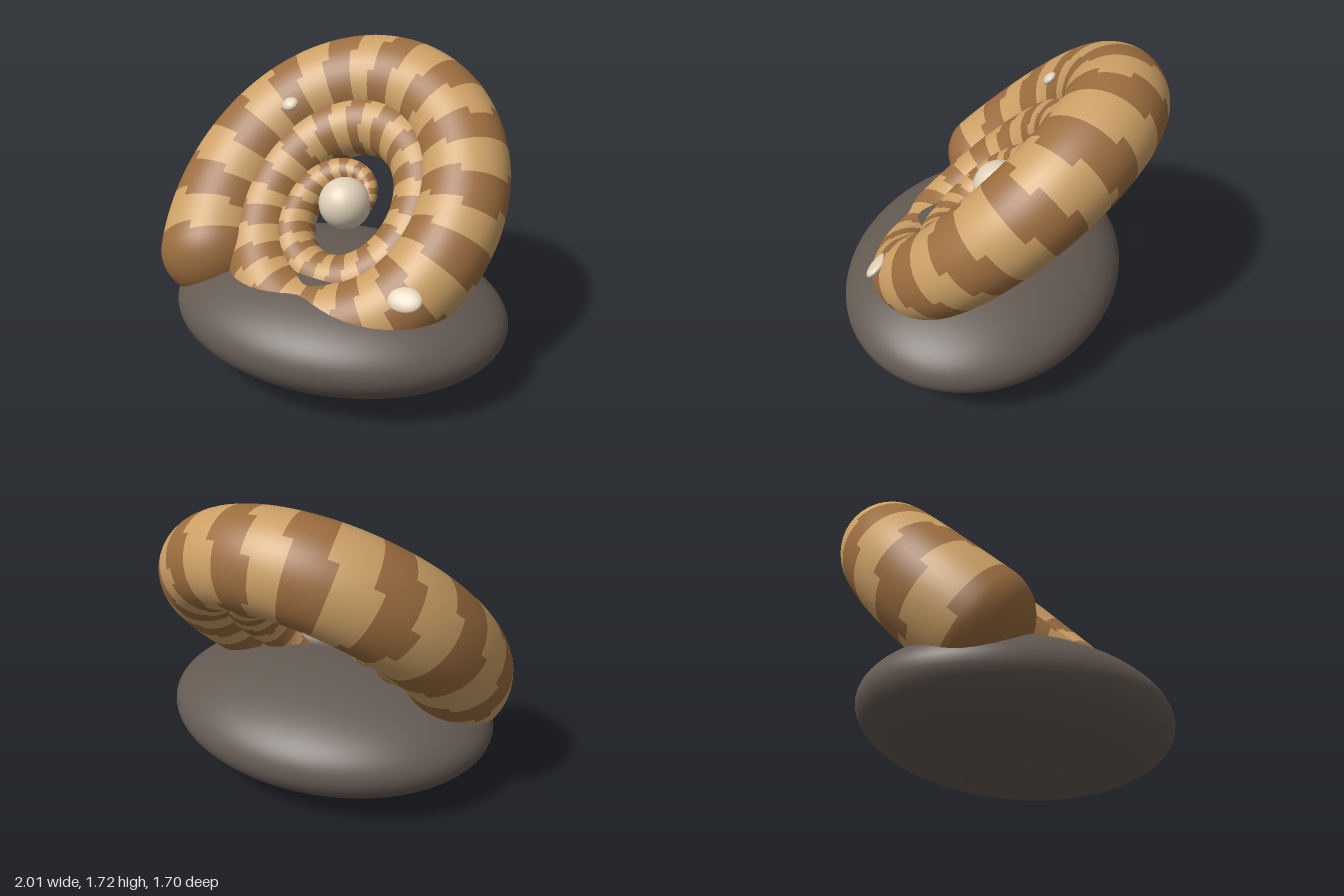
import * as THREE from 'three';

const SIDES = 40, STEPS = 280;
const START = -4 * Math.PI, END = 3.59;
const GROWTH = 0.071, OVAL = 1.19, BAND = 0.215, BAND_PHASE = 1.6;

const paint = (color) => new THREE.MeshStandardMaterial({ color });

// Cross-section of the coil at angle a: centre, tube radius and radial direction
function ringAt(a) {
  const curl = THREE.MathUtils.clamp((-2.85 * Math.PI - a) / (1.15 * Math.PI), 0, 1);
  const c = 0.614 * Math.exp(GROWTH * a) * (1 - 0.68 * curl);
  return {
    a,
    center: new THREE.Vector3(c * Math.cos(a), OVAL * c * Math.sin(a), 0),
    radius: 0.385 * c,
    out: new THREE.Vector3(Math.cos(a), Math.sin(a), 0),
  };
}

// Rounded end made of shrinking rings; dir is +1 at the mouth, -1 at the inner tip
function domeRings(a, dir, labelAngle) {
  const rings = [];
  const tangent = new THREE.Vector3(-Math.sin(a), Math.cos(a), 0);
  for (let k = 1; k <= 10; k++) {
    const t = (k / 10) * Math.PI / 2, ring = ringAt(a);
    ring.center.addScaledVector(tangent, dir * 0.85 * ring.radius * Math.sin(t));
    ring.radius *= Math.max(Math.cos(t), 0.001);
    ring.a = labelAngle;
    rings.push(ring);
  }
  return rings;
}

// Spiral tube whose quads are sorted into light and dark bands
function buildShell() {
  const rings = domeRings(START, -1, START).reverse();
  for (let i = 0; i <= STEPS; i++) rings.push(ringAt(START + (END - START) * i / STEPS));
  rings.push(...domeRings(END, 1, 3.63));

  const positions = [], light = [], dark = [];
  for (const r of rings) {
    for (let j = 0; j < SIDES; j++) {
      const p = j / SIDES * Math.PI * 2;
      const q = r.center.clone().addScaledVector(r.out, r.radius * Math.cos(p));
      positions.push(q.x, q.y, r.radius * Math.sin(p));
    }
  }
  for (let i = 0; i < rings.length - 1; i++) {
    for (let j = 0; j < SIDES; j++) {
      const p = (j + 0.5) / SIDES * Math.PI * 2, k = (j + 1) % SIDES;
      const angle = rings[i].a + 0.04 * Math.sin(2 * p);
      const band = Math.floor((angle - BAND_PHASE) / BAND);
      const a = i * SIDES + j, b = a + SIDES, d = i * SIDES + k, c = d + SIDES;
      (band % 2 === 0 ? light : dark).push(a, b, d, b, c, d);
    }
  }
  // Normals come from the whole tube so shading runs smoothly across bands
  const whole = new THREE.BufferGeometry();
  whole.setAttribute('position', new THREE.Float32BufferAttribute(positions, 3));
  whole.setIndex([...light, ...dark]);
  whole.computeVertexNormals();

  const shell = new THREE.Group();
  shell.name = 'spiralShell';
  for (const [name, index, color] of [['lightBands', light, 0xcca066], ['darkBands', dark, 0x9c6d3f]]) {
    const g = new THREE.BufferGeometry();
    g.setAttribute('position', whole.getAttribute('position'));
    g.setAttribute('normal', whole.getAttribute('normal'));
    g.setIndex(index);
    const mesh = new THREE.Mesh(g, paint(color));
    mesh.name = name;
    shell.add(mesh);
  }
  return shell;
}

function ellipsoid(name, color, radii, position) {
  const g = new THREE.SphereGeometry(1, 64, 40).scale(...radii);
  const mesh = new THREE.Mesh(g, paint(color));
  mesh.name = name;
  mesh.position.set(...position);
  return mesh;
}

export function createModel() {
  const model = new THREE.Group();
  model.name = 'shellOnRock';

  // Flattened base stone
  model.add(ellipsoid('rock', 0x645a52, [0.965, 0.335, 0.77], [0.035, 0.335, 0.085]));

  // Coil leaning back at 45 degrees
  const shell = buildShell();
  shell.position.set(0.055, 0.875, -0.005);
  shell.rotation.x = -Math.PI / 4;
  model.add(shell);

  // Ball in the middle of the coil
  model.add(ellipsoid('centreBall', 0xe0d0b8, [0.145, 0.145, 0.145], [0.03, 0.905, 0]));

  // Small pebbles lying on the coil's front face
  const big = ellipsoid('largePebble', 0xe0d0b8, [0.095, 0.068, 0.03], [0.61, 0.68, 0.475]);
  const small = ellipsoid('smallPebble', 0xe0d0b8, [0.048, 0.042, 0.025], [-0.4, 1.375, -0.145]);
  big.rotation.x = -Math.PI / 4;
  small.rotation.set(-Math.PI / 4, 0, 0.4);
  model.add(big, small);

  return model;
}
